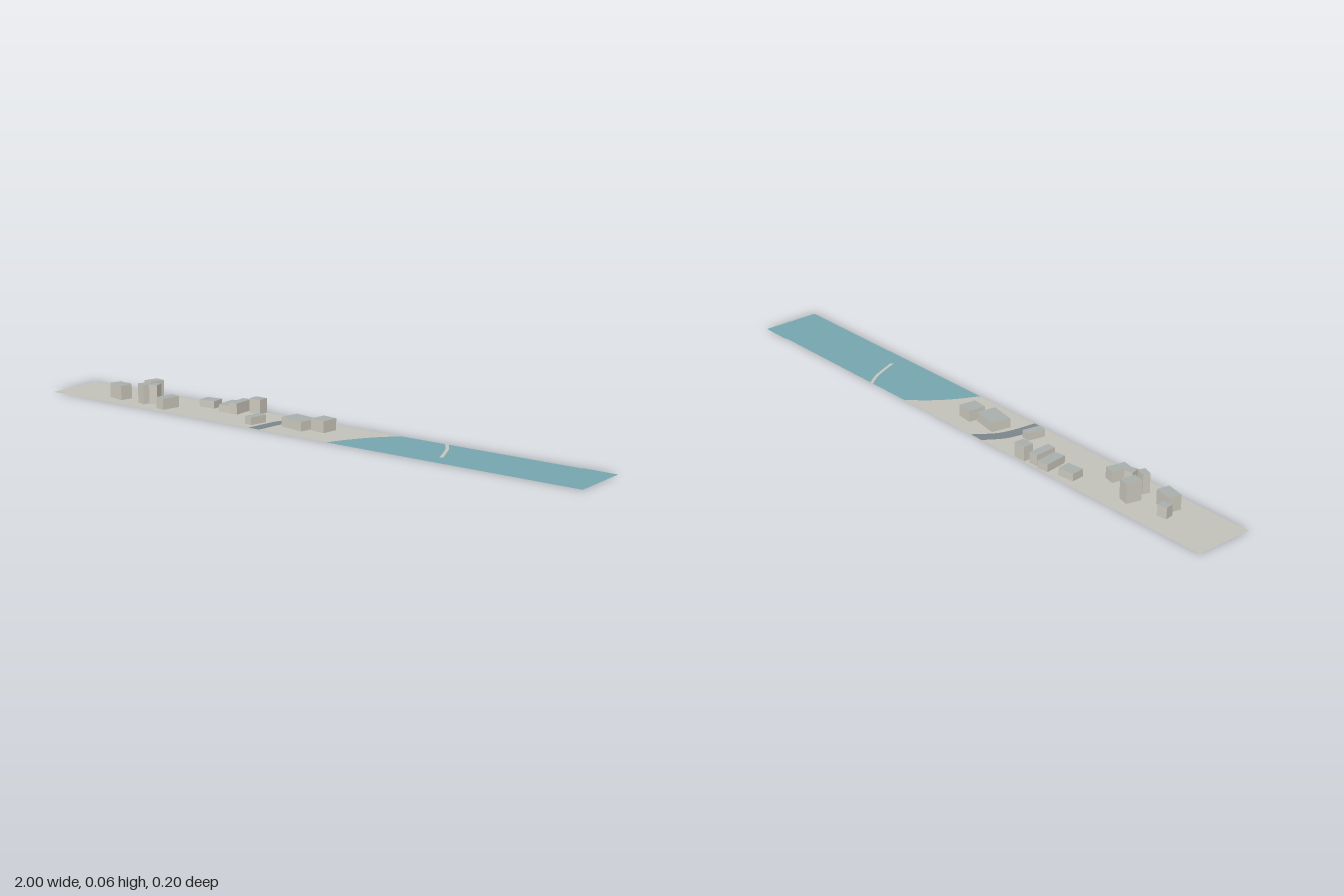
import * as THREE from 'three';

const mat = (color, side = THREE.FrontSide) =>
  new THREE.MeshStandardMaterial({ color, side, flatShading: true });

// smooth curve through [x, z] points
const curve = (pts, n = 16) =>
  new THREE.SplineCurve(pts.map(([x, z]) => new THREE.Vector2(x, z))).getPoints(n);

// flat horizontal sheet bounded by an outline of (x, z) points
function sheet(name, outline, color, y) {
  const shape = new THREE.Shape(outline.map(p => new THREE.Vector2(p.x, -p.y)));
  const geo = new THREE.ShapeGeometry(shape).rotateX(-Math.PI / 2).translate(0, y, 0);
  const mesh = new THREE.Mesh(geo, mat(color, THREE.DoubleSide));
  mesh.name = name;
  return mesh;
}

// strip between two edge curves
const strip = (name, a, b, color, y) =>
  sheet(name, [...curve(a), ...curve(b).reverse()], color, y);

export function createModel() {
  const group = new THREE.Group();
  const v = (x, z) => new THREE.Vector2(x, z);
  const zF = 0.098, zB = -0.098;

  // land and water share a curved shoreline
  const shore = curve([[0.13, zF], [0.155, 0.045], [0.19, -0.013], [0.228, -0.06], [0.265, zB]]);
  group.add(sheet('land', [v(-1, zB), v(-1, zF), ...shore], 0xc4c4bb, 0));
  group.add(sheet('water',
    [...shore, v(0.89, zB), v(0.89, -0.102), v(1, -0.102), v(1, zF)], 0x76a7b1, 0));

  // curved road across the land
  group.add(strip('road',
    [[-0.168, zF], [-0.158, 0.02], [-0.142, -0.04], [-0.105, zB]],
    [[-0.126, zF], [-0.116, 0.02], [-0.099, -0.035], [-0.055, zB]], 0x7c868c, 0.001));

  // thin breakwater in the water
  group.add(strip('breakwater',
    [[0.423, zB], [0.454, -0.055], [0.48, 0], [0.498, 0.045]],
    [[0.436, zB], [0.466, -0.055], [0.491, 0], [0.508, 0.04]], 0xc8c8bf, 0.0005));

  // buildings: x, z, width, depth, turn, height
  const buildings = [
    [-0.79, -0.018, 0.033, 0.028, 0.16, 0.037],
    [-0.761, 0.028, 0.062, 0.042, -0.22, 0.048],
    [-0.66, -0.022, 0.038, 0.05, -0.24, 0.064],
    [-0.618, 0.02, 0.028, 0.031, 0.25, 0.064],
    [-0.65, 0.04, 0.034, 0.023, -0.32, 0.064],
    [-0.546, 0.042, 0.036, 0.064, -0.22, 0.037],
    [-0.446, -0.053, 0.056, 0.044, 0.1, 0.025],
    [-0.362, -0.052, 0.039, 0.078, 0.13, 0.025],
    [-0.322, -0.05, 0.03, 0.075, 0.04, 0.037],
    [-0.27, -0.077, 0.043, 0.035, 0, 0.048],
    [-0.191, 0.035, 0.03, 0.06, -0.2, 0.025],
    [-0.047, 0, 0.09, 0.065, -0.18, 0.031],
    [0.035, -0.015, 0.053, 0.057, -0.12, 0.038],
  ];
  const wall = mat(0xd0cdc2), roof = mat(0xaab0ae);
  const town = new THREE.Group();
  town.name = 'buildings';
  buildings.forEach(([x, z, w, d, turn, top], i) => {
    const h = top - 0.001;
    const mesh = new THREE.Mesh(new THREE.BoxGeometry(w, h, d),
      [wall, wall, roof, wall, wall, wall]);
    mesh.position.set(x, 0.001 + h / 2, z);
    mesh.rotation.y = turn;
    mesh.name = `building${i + 1}`;
    town.add(mesh);
  });
  group.add(town);
  return group;
}
